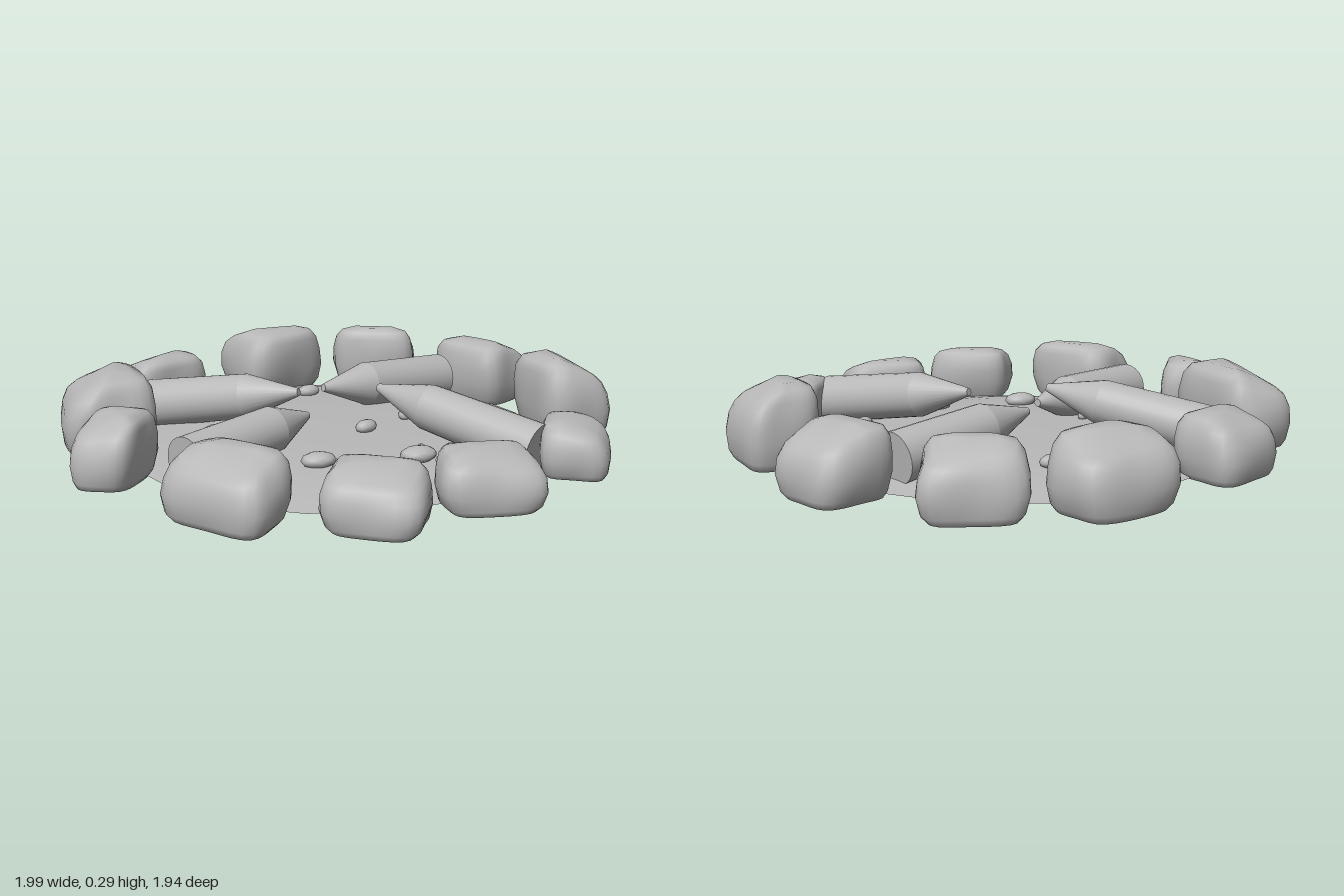
import * as THREE from 'three';
import { mergeVertices } from 'three/addons/utils/BufferGeometryUtils.js';

const grey = new THREE.MeshStandardMaterial({ color: 0xb8b8b8 });
grey.name = 'stone grey';
const groundGrey = grey.clone();
groundGrey.name = 'ash grey';
groundGrey.side = THREE.DoubleSide;

const domeHeight = (r) => 0.008 + 0.055 * Math.max(0, 1 - (r / 0.77) ** 3);

// Boulder: a rounded, slightly tapered box lofted through scaled rings.
function boulder(x, z, width, depth, height, turn, seed) {
  const n = 36;
  const out = new THREE.Vector2(x, z).normalize();
  const taper = 0.12 * Math.sin(seed * 2.7);
  // [plan scale, height fraction]
  const rings = [[0, 0], [0.5, 0], [0.82, 0], [0.92, 0.1], [1, 0.35], [0.98, 0.6], [0.9, 0.82], [0.76, 0.94], [0.45, 1], [0, 1.01]];
  const pos = [], index = [];
  rings.forEach(([s, f], r) => {
    for (let i = 0; i < n; i++) {
      const t = (i / n) * Math.PI * 2, c = Math.cos(t), k = Math.sin(t);
      const radius = (Math.abs(c) ** 4.5 + Math.abs(k) ** 4.5) ** (-1 / 4.5);
      const lump = s * (1 + 0.03 * Math.sin(seed * 2.1 + r * 0.8 + t * 3));
      const u = radius * c;
      const d = new THREE.Vector2(u * width / 2, radius * k * (1 + taper * u) * depth / 2)
        .multiplyScalar(lump).rotateAround(new THREE.Vector2(), turn);
      // Upper faces fall away to the outside and lean inward
      const slope = 1 - 1.6 * f * f * d.dot(out);
      const lean = -0.025 * f * f;
      pos.push(x + d.x + out.x * lean, height * f * Math.min(slope, 1.02), z + d.y + out.y * lean);
      if (r < rings.length - 1) {
        const a = r * n + i, b = r * n + ((i + 1) % n);
        index.push(a, a + n, b, b, a + n, b + n);
      }
    }
  });
  let geometry = new THREE.BufferGeometry();
  geometry.setAttribute('position', new THREE.Float32BufferAttribute(pos, 3));
  geometry.setIndex(index);
  geometry = mergeVertices(geometry, 1e-5);
  geometry.computeVertexNormals();
  const mesh = new THREE.Mesh(geometry, grey);
  mesh.name = 'ringBoulder';
  return mesh;
}

// Log: tapered trunk with a sharpened end, laid from butt to tip.
function log(butt, tip, coneLength) {
  const a = new THREE.Vector3(...butt), b = new THREE.Vector3(...tip);
  const trunk = a.distanceTo(b) - coneLength;
  const group = new THREE.Group();
  group.name = 'log';
  const body = new THREE.Mesh(new THREE.CylinderGeometry(0.082, 0.09, trunk, 24), grey);
  body.name = 'logTrunk';
  body.position.y = trunk / 2;
  const point = new THREE.Mesh(new THREE.CylinderGeometry(0.014, 0.082, coneLength, 24), grey);
  point.name = 'logPoint';
  point.position.y = trunk + coneLength / 2;
  group.add(body, point);
  group.position.copy(a);
  group.quaternion.setFromUnitVectors(new THREE.Vector3(0, 1, 0), b.sub(a).normalize());
  return group;
}

export function createModel() {
  const model = new THREE.Group();
  model.name = 'firePit';

  // Shallow mound of ash with a slightly uneven rim
  const profile = [];
  for (let i = 0; i <= 8; i++) {
    const r = 0.77 * (1 - i / 8);
    profile.push(new THREE.Vector2(r, domeHeight(r)));
  }
  const moundGeometry = new THREE.LatheGeometry(profile, 26);
  const mp = moundGeometry.attributes.position;
  for (let i = 0; i < mp.count; i++) {
    const k = 1 + 0.012 * Math.sin(5 * Math.atan2(mp.getZ(i), mp.getX(i)) + 1);
    mp.setX(i, mp.getX(i) * k - 0.022);
    mp.setZ(i, mp.getZ(i) * k - 0.015);
  }
  const mound = new THREE.Mesh(moundGeometry, groundGrey);
  mound.name = 'ashMound';
  model.add(mound);

  // Ring of boulders: x, z, width, depth, height, turn
  const ring = new THREE.Group();
  ring.name = 'boulderRing';
  [
    [-0.17, -0.845, 0.33, 0.25, 0.22, 0.12],
    [0.39, -0.76, 0.38, 0.3, 0.25, 0.2],
    [0.725, -0.485, 0.34, 0.24, 0.24, 0.85],
    [0.847, 0, 0.3, 0.32, 0.24, 0.05],
    [0.675, 0.485, 0.27, 0.35, 0.28, 0.42],
    [0.28, 0.81, 0.28, 0.23, 0.185, -0.5],
    [-0.205, 0.8, 0.34, 0.24, 0.19, 0.65],
    [-0.59, 0.655, 0.26, 0.33, 0.2, -0.5],
    [-0.85, 0.28, 0.27, 0.38, 0.23, -0.12],
    [-0.85, -0.295, 0.29, 0.25, 0.23, -0.55],
    [-0.62, -0.62, 0.42, 0.3, 0.28, -1.1],
  ].forEach((spec, i) => ring.add(boulder(...spec, i + 1)));
  model.add(ring);

  // Four logs pointing to the centre
  model.add(
    log([-0.75, 0.095, -0.025], [-0.17, 0.13, -0.03], 0.18),
    log([-0.34, 0.09, -0.67], [-0.15, 0.2, -0.09], 0.21),
    log([0.655, 0.1, -0.09], [0.06, 0.16, -0.165], 0.21),
    log([0.15, 0.09, 0.74], [0.09, 0.2, 0.08], 0.22),
  );

  // Scattered pebbles: x, z, size
  const pebbles = new THREE.Group();
  pebbles.name = 'pebbles';
  [
    [-0.03, -0.45, 0.1], [0.11, -0.44, 0.11], [0.25, -0.42, 0.09], [-0.38, -0.27, 0.12], [-0.45, -0.2, 0.09],
    [-0.32, -0.13, 0.05], [-0.38, 0.22, 0.12], [0, 0.1, 0.09], [0.22, 0.1, 0.07], [0.29, 0.1, 0.1],
    [-0.11, 0.43, 0.13], [-0.06, 0.4, 0.06], [0.01, 0.48, 0.1], [-0.07, 0.51, 0.06], [0.26, 0.45, 0.08],
  ].forEach(([x, z, size], i) => {
    const pebble = new THREE.Mesh(new THREE.IcosahedronGeometry(0.52, 1), grey);
    pebble.name = 'pebble';
    const height = 0.025 + 0.25 * size;
    pebble.scale.set(size, height, size * 0.7);
    pebble.position.set(x, domeHeight(Math.hypot(x, z)) + height * 0.3, z);
    pebble.rotation.y = 0.6 * Math.sin(i * 1.8);
    pebbles.add(pebble);
  });
  model.add(pebbles);
  return model;
}
